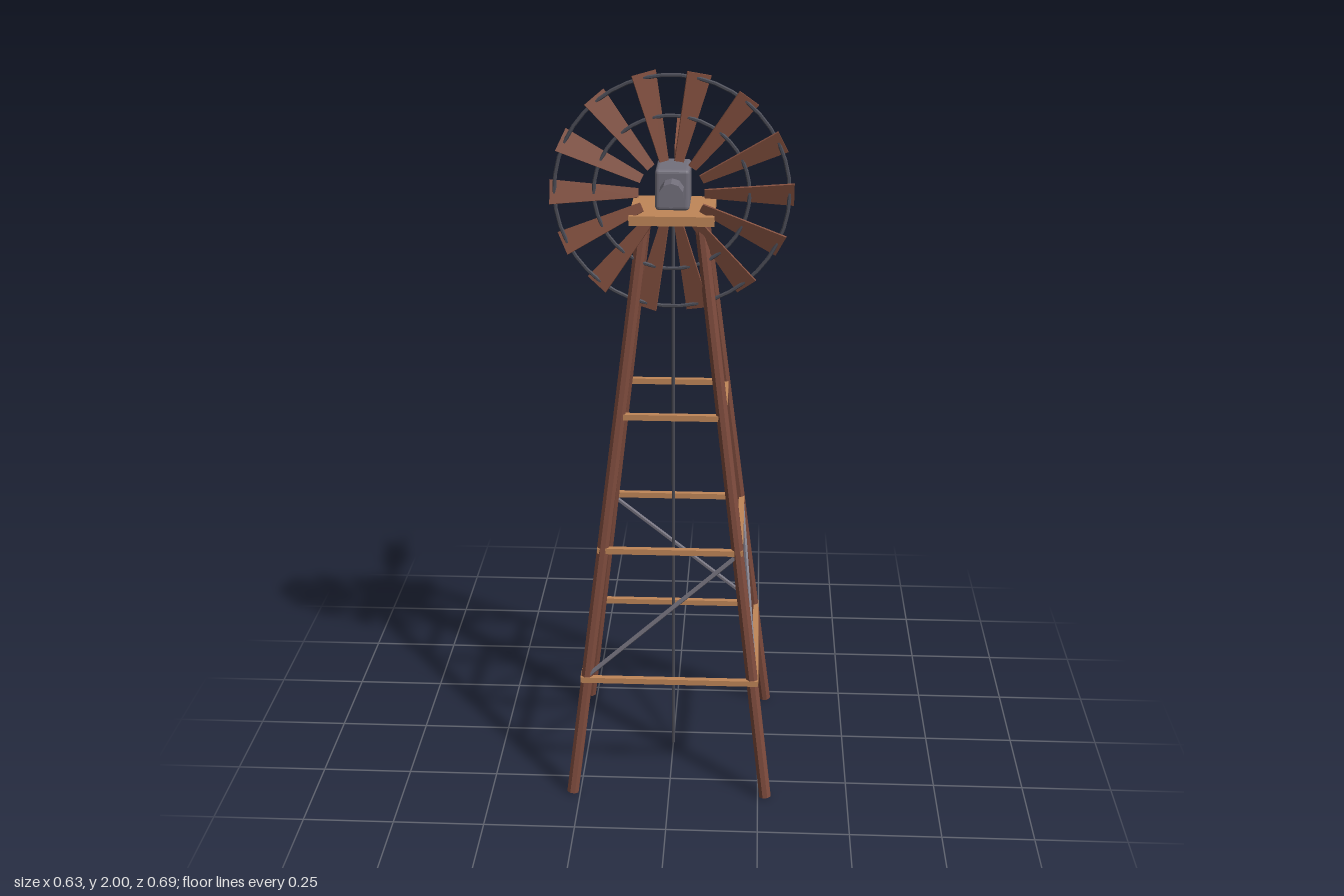
import * as THREE from 'three';
import { RoundedBoxGeometry } from 'three/addons/geometries/RoundedBoxGeometry.js';

const mat = (name, color, extra = {}) =>
  Object.assign(new THREE.MeshStandardMaterial({ color, flatShading: true, ...extra }), { name });

export function createModel() {
  const redWood = mat('red brown wood', 0x84503f);
  const legWood = mat('dark brown wood', 0x7c4a3c);
  const tanWood = mat('tan wood', 0xc08658);
  const steel = mat('grey steel', 0x73707c);
  const darkSteel = mat('dark steel', 0x4a4b55);

  const model = new THREE.Group();
  model.name = 'windPump';

  const add = (parent, name, geometry, material, x = 0, y = 0, z = 0) => {
    const mesh = new THREE.Mesh(geometry, material);
    mesh.name = name;
    mesh.position.set(x, y, z);
    parent.add(mesh);
    return mesh;
  };

  // Places a geometry that runs along y between two points
  const UP = new THREE.Vector3(0, 1, 0);
  const span = (parent, name, a, b, makeGeometry, material) => {
    const p = new THREE.Vector3(...a), q = new THREE.Vector3(...b);
    const mesh = add(parent, name, makeGeometry(p.distanceTo(q)), material);
    mesh.position.copy(p).add(q).multiplyScalar(0.5);
    mesh.quaternion.setFromUnitVectors(UP, q.sub(p).normalize());
    return mesh;
  };
  const pole = (r, sides) => (len) =>
    new THREE.CylinderGeometry(r, r, len, sides).rotateY(Math.PI / sides);
  const bar = (w, d) => (len) => new THREE.BoxGeometry(w, len, d);

  // Tower
  const tower = new THREE.Group();
  tower.name = 'tower';
  tower.position.z = 0.058;
  model.add(tower);

  for (const sx of [-1, 1]) {
    for (const sz of [-1, 1]) {
      span(tower, 'leg', [sx * 0.271, 0.002, sz * 0.271], [sx * 0.074, 1.61, sz * 0.074],
        pole(0.0172, 8), legWood);
    }
  }

  // One side of rails and bracing, repeated around the tower
  const levels = [[0.345, 0.238], [0.718, 0.19], [1.09, 0.141]];
  for (let i = 0; i < 4; i++) {
    const side = new THREE.Group();
    side.name = 'towerSide';
    side.rotation.y = i * Math.PI / 2;
    tower.add(side);
    for (const [y, h] of levels) {
      add(side, 'rail', new THREE.BoxGeometry(h * 2 + 0.012, 0.016, 0.016), tanWood, 0, y, h);
    }
    span(side, 'brace', [-0.232, 0.35, 0.237], [0.186, 0.712, 0.191], pole(0.0065, 6), steel);
  }

  add(tower, 'platform', new THREE.BoxGeometry(0.221, 0.025, 0.221), tanWood, 0, 1.617, 0);
  span(tower, 'pumpRod', [0, 0, 0], [0, 1.61, 0], pole(0.0045, 6), darkSteel);

  // Head: gearbox, tail boom and vane
  const head = new THREE.Group();
  head.name = 'head';
  model.add(head);
  add(head, 'gearbox', new RoundedBoxGeometry(0.09, 0.108, 0.141, 2, 0.01), steel, 0, 1.685, 0.045);
  span(head, 'tailBoom', [0, 1.688, -0.01], [0, 1.714, -0.346], bar(0.013, 0.012), steel);

  const vane = new THREE.Shape([[0.083, 1.668], [0.266, 1.645], [0.266, 1.806], [0.083, 1.752]]
    .map(([x, y]) => new THREE.Vector2(x, y)));
  add(head, 'tailVane',
    new THREE.ExtrudeGeometry(vane, { depth: 0.008, bevelEnabled: false })
      .translate(0, 0, -0.004).rotateY(Math.PI / 2), redWood);

  // Wheel
  const wheel = new THREE.Group();
  wheel.name = 'wheel';
  wheel.position.set(0, 1.687, 0.15);
  model.add(wheel);

  const hub = (name, r, len, z) =>
    add(wheel, name, new THREE.CylinderGeometry(r, r, len, 10).rotateX(Math.PI / 2), steel, 0, 0, z);
  hub('hub', 0.032, 0.06, 0);
  hub('axle', 0.016, 0.05, -0.045);

  for (const r of [0.302, 0.2]) {
    add(wheel, 'ring', new THREE.TorusGeometry(r, 0.005, 6, 42), darkSteel);
  }

  const outline = new THREE.Shape([[-0.012, 0.085], [0.012, 0.085], [0.032, 0.314], [-0.032, 0.314]]
    .map(([x, y]) => new THREE.Vector2(x, y)));
  const bladeGeometry = new THREE.ExtrudeGeometry(outline, { depth: 0.006, bevelEnabled: false })
    .translate(0, 0, -0.003).rotateY(0.32);
  const blades = 14;
  for (let i = 0; i < blades; i++) {
    add(wheel, 'blade', bladeGeometry, redWood).rotation.z = Math.PI / 2 + i * 2 * Math.PI / blades;
  }

  return model;
}
